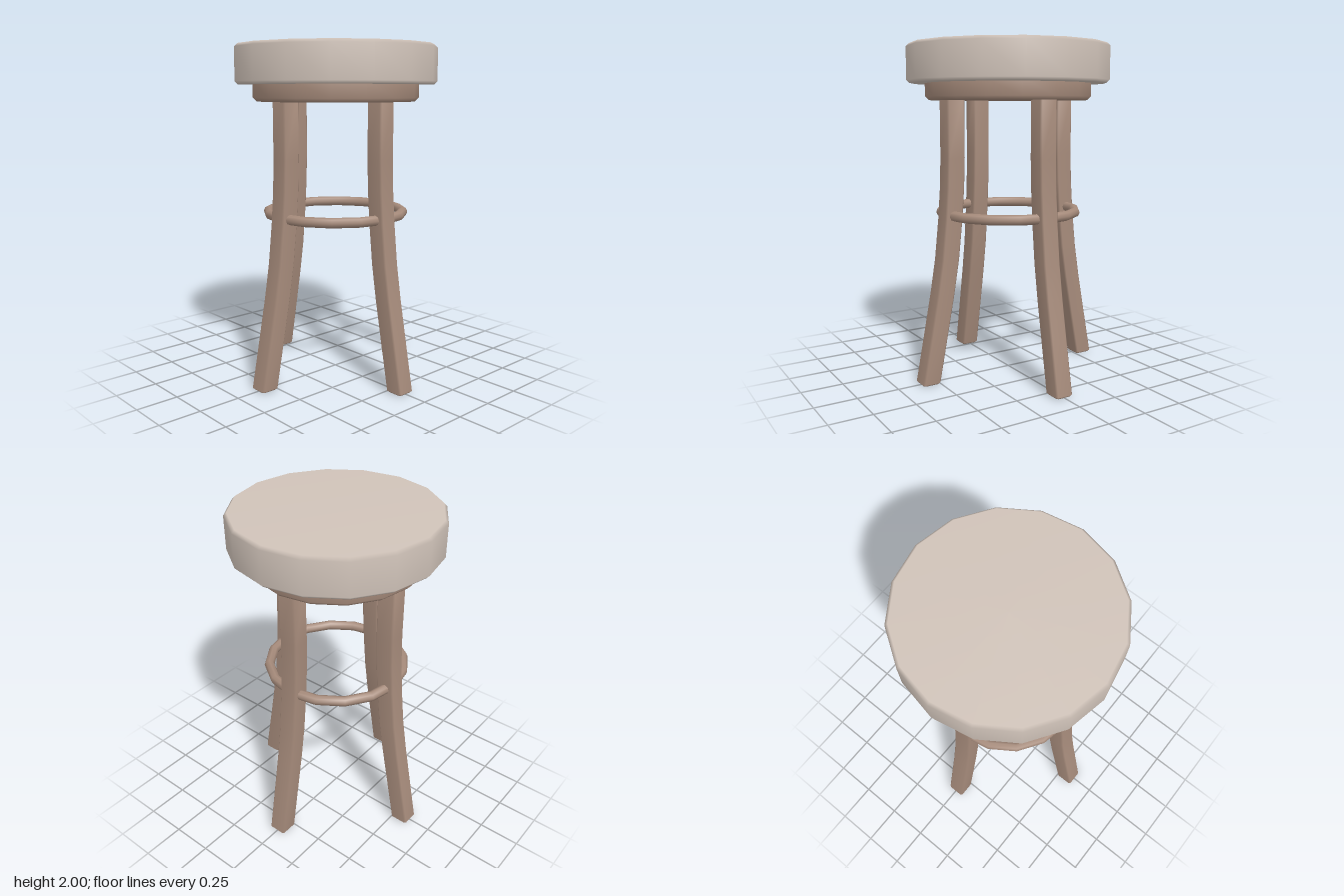
import * as THREE from 'three';

const SIDES = 16;

// Turned disc with small chamfers on its lower and upper rims
function disc(radius, y0, y1, low, high) {
  const profile = [
    [0, y0], [radius - low, y0], [radius, y0 + low],
    [radius, y1 - high], [radius - high, y1], [0, y1],
  ].map(([x, y]) => new THREE.Vector2(x, y));
  return new THREE.LatheGeometry(profile, SIDES);
}

// Curved square leg with chamfered edges, splayed towards +z
function legGeometry() {
  // [height, distance from centre, half width]
  const sections = [
    [0, 0.558, 0.047], [0.01, 0.557, 0.056], [0.3, 0.502, 0.056],
    [0.54, 0.457, 0.056], [0.74, 0.425, 0.056], [0.98, 0.4, 0.056],
    [1.16, 0.387, 0.056], [1.34, 0.381, 0.056], [1.7, 0.381, 0.056],
  ];
  const c = 0.01;
  const positions = [];
  const index = [];
  for (const [y, z, h] of sections) {
    const k = h - c;
    const corners = [[h, -k], [h, k], [k, h], [-k, h], [-h, k], [-h, -k], [-k, -h], [k, -h]];
    for (const [dx, dz] of corners) positions.push(dx, y, z + dz);
  }
  const n = 8;
  for (let s = 0; s < sections.length - 1; s++) {
    for (let i = 0; i < n; i++) {
      const a = s * n + i;
      const b = s * n + (i + 1) % n;
      index.push(a, a + n, b, b, a + n, b + n);
    }
  }
  const top = (sections.length - 1) * n;
  for (let i = 1; i < n - 1; i++) {
    index.push(0, i, i + 1); // foot
    index.push(top, top + i + 1, top + i); // hidden end inside the base
  }
  const geometry = new THREE.BufferGeometry();
  geometry.setAttribute('position', new THREE.Float32BufferAttribute(positions, 3));
  geometry.setIndex(index);
  geometry.computeVertexNormals();
  return geometry;
}

export function createModel() {
  const cushionMaterial = new THREE.MeshStandardMaterial({ color: 0xd0c3b9 });
  cushionMaterial.name = 'pale cushion';
  const woodMaterial = new THREE.MeshStandardMaterial({ color: 0xa68b7b });
  woodMaterial.name = 'brown wood';

  const model = new THREE.Group();
  model.name = 'stool';
  const add = (name, geometry, material) => {
    const mesh = new THREE.Mesh(geometry, material);
    mesh.name = name;
    model.add(mesh);
    return mesh;
  };

  // Seat and its support
  add('seat', disc(0.608, 1.77, 2, 0.018, 0.018), cushionMaterial);
  add('seatBase', disc(0.5, 1.67, 1.79, 0.022, 0.01), woodMaterial);

  // Four legs around the centre
  const leg = legGeometry();
  ['frontLeg', 'leftLeg', 'backLeg', 'rightLeg'].forEach((name, i) => {
    add(name, leg, woodMaterial).rotation.y = i * Math.PI / 2;
  });

  // Foot ring passing through the legs
  const ring = new THREE.TorusGeometry(0.413, 0.03, 8, SIDES);
  ring.rotateX(Math.PI / 2);
  add('footRing', ring, woodMaterial).position.y = 1;

  return model;
}
